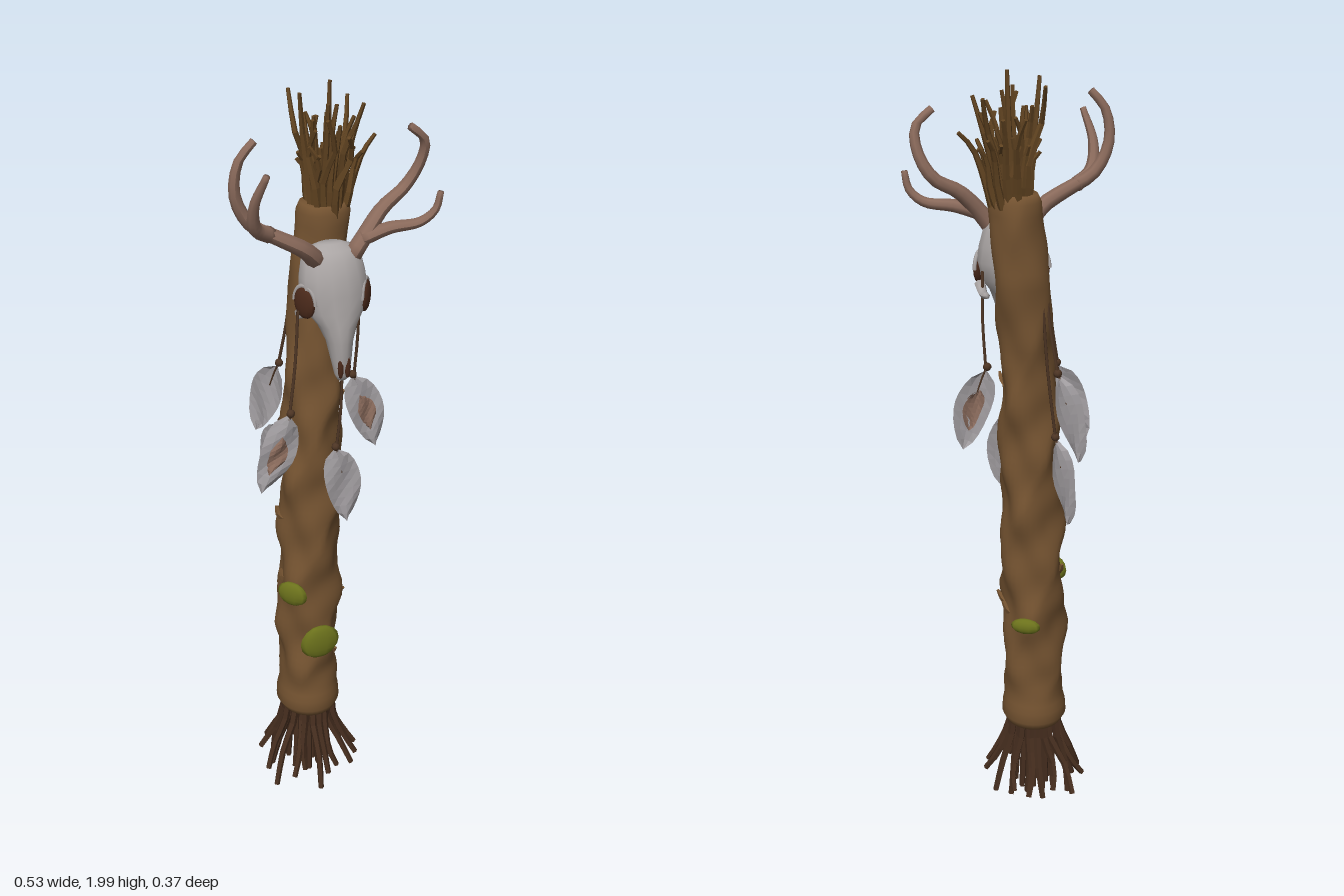
import * as THREE from 'three';

const mat = (name, color, side = THREE.FrontSide) => {
  const m = new THREE.MeshStandardMaterial({ color, side });
  m.name = name;
  return m;
};
const V = (x, y, z) => new THREE.Vector3(x, y, z);

// linear interpolation in rows of [y, a, b, c...]
function sample(rows, y) {
  let i = 0;
  while (i < rows.length - 2 && y > rows[i + 1][0]) i++;
  const a = rows[i], b = rows[i + 1];
  const t = THREE.MathUtils.clamp((y - a[0]) / (b[0] - a[0]), 0, 1);
  return a.map((v, k) => v + (b[k] - v) * t);
}

// closed skin over rings given from bottom to top
function loft(rings) {
  const n = rings[0].length, pos = [], idx = [];
  rings.forEach(r => r.forEach(p => pos.push(p.x, p.y, p.z)));
  for (let i = 0; i < rings.length - 1; i++) for (let j = 0; j < n; j++) {
    const a = i * n + j, b = i * n + (j + 1) % n;
    idx.push(a, a + n, b, b, a + n, b + n);
  }
  [rings[0], rings[rings.length - 1]].forEach((r, end) => {
    const c = r.reduce((s, p) => s.add(p), V(0, 0, 0)).divideScalar(n);
    const k = pos.length / 3, base = end ? (rings.length - 1) * n : 0;
    pos.push(c.x, c.y, c.z);
    for (let j = 0; j < n; j++) {
      const a = base + j, b = base + (j + 1) % n;
      if (end) idx.push(k, b, a); else idx.push(k, a, b);
    }
  });
  const g = new THREE.BufferGeometry();
  g.setAttribute('position', new THREE.Float32BufferAttribute(pos, 3));
  g.setIndex(idx);
  g.computeVertexNormals();
  return g;
}

// tube with closed ends that narrows from r0 to r1
function taper(points, r0, r1, sides = 6, seg = 10, flat = false) {
  const curve = new THREE.CatmullRomCurve3(points);
  let g = new THREE.TubeGeometry(curve, seg, 1, sides, false);
  const p = g.attributes.position, v = V(0, 0, 0);
  for (let i = 0; i <= seg; i++) {
    const t = THREE.MathUtils.clamp((i - 1) / (seg - 2), 0, 1);
    const from = curve.getPointAt(i / seg), to = curve.getPointAt(t);
    const r = i === 0 || i === seg ? 0 : r0 + (r1 - r0) * t;
    for (let j = 0; j <= sides; j++) {
      const k = i * (sides + 1) + j;
      v.fromBufferAttribute(p, k).sub(from).multiplyScalar(r).add(to);
      p.setXYZ(k, v.x, v.y, v.z);
    }
  }
  if (flat) g = g.toNonIndexed();
  g.computeVertexNormals();
  return g;
}

// trunk profile: y, centre x, centre z, radius x, radius z
const TRUNK = [
  [0.23, -0.055, -0.015, 0.078, 0.085], [0.25, -0.056, -0.015, 0.088, 0.094],
  [0.28, -0.056, -0.015, 0.086, 0.094], [0.31, -0.055, -0.015, 0.079, 0.086],
  [0.6, -0.053, -0.016, 0.083, 0.088], [1.0, -0.042, -0.014, 0.077, 0.083],
  [1.3, -0.033, -0.023, 0.069, 0.073], [1.5, -0.015, -0.045, 0.07, 0.07],
  [1.62, -0.002, -0.05, 0.066, 0.06], [1.69, 0.002, -0.048, 0.065, 0.058], [1.71, 0.002, -0.048, 0.056, 0.05],
];
function trunkPoint(y, a, lift = 0) {
  const [, cx, cz, rx, rz] = sample(TRUNK, y);
  const fade = THREE.MathUtils.smoothstep(y, 0.29, 0.4) * (1 - 0.65 * THREE.MathUtils.smoothstep(y, 1.1, 1.5));
  const ridge = 1 - 2 * Math.abs(Math.sin(1.5 * a + 9 * y));
  const fold = 0.006 * ridge + 0.006 * Math.sin(4 * a - 23 * y + 1) + 0.003 * Math.sin(2 * a + 41 * y);
  const d = fold * fade + lift;
  return V(cx + Math.cos(a) * (rx + d), y, cz + Math.sin(a) * (rz + d));
}

export function createModel() {
  const root = new THREE.Group();
  const bark = mat('bark wrap', 0x735230), root_ = mat('dark roots', 0x452d1e), twig = mat('twigs', 0x5f4220);
  const bone = mat('bone', 0xaaa5a4), horn = mat('antler', 0x8a6a5b), hollow = mat('hollow', 0x4b2a1b);
  const moss = mat('moss', 0x6c721c), cord = mat('cord', 0x4d3524);
  const vane = mat('feather', 0xa09c9f, THREE.DoubleSide), spot = mat('feather spot', 0x8a6b5c, THREE.DoubleSide);
  const add = (geo, m, name, parent = root) => {
    const mesh = new THREE.Mesh(geo, m);
    mesh.name = name;
    parent.add(mesh);
    return mesh;
  };
  const group = name => {
    const g = new THREE.Group();
    g.name = name;
    root.add(g);
    return g;
  };
  let seed = 11;
  const rnd = (a = 0, b = 1) => {
    seed = (seed * 16807) % 2147483647;
    return a + (b - a) * seed / 2147483647;
  };

  // wrapped trunk
  const ys = [0.23, 0.25, 0.28, 0.3];
  for (let y = 0.32; y < 1.68; y += 0.02) ys.push(y);
  ys.push(1.69, 1.71);
  add(loft(ys.map(y => Array.from({ length: 36 }, (_, j) => trunkPoint(y, j / 36 * Math.PI * 2)))), bark, 'trunk');

  // loose bark chips: y, angle
  const chips = group('barkChips');
  for (const [y, a] of [[0.56, -0.25], [0.58, 0.05], [0.42, 0.7], [0.47, 0.6], [0.66, 2.9], [0.85, 3.1], [1.2, 0.4]]) {
    add(taper([trunkPoint(y, a, -0.012), trunkPoint(y + 0.012, a + 0.12, 0.001), trunkPoint(y + 0.03, a + 0.24, 0.008)],
      0.013, 0.004, 4, 6, true), bark, 'barkChip', chips);
  }

  // splayed roots below
  const roots = group('roots');
  for (let i = 0; i < 34; i++) {
    const outer = i >= 14, a = i * 2.4, k = Math.sqrt((i + 0.5) / 34), r = 0.07 * k;
    const e = outer ? rnd(0.1, 0.155) : k * 0.1, y = outer ? rnd(0.008, 0.05) : 0.006;
    const at = (q, h, b = 0) => V(-0.055 + Math.cos(a + b) * q, h, -0.012 + Math.sin(a + b) * q);
    add(taper([at(r, 0.27), at(r * 1.1, 0.19, 0.05), at(r * 0.5 + e * 0.55, 0.1, rnd(-0.15, 0.15)), at(e, y)],
      0.012, 0.008, 5, 8, true), root_, 'root', roots);
  }

  // bundle of twigs on top
  const twigs = group('twigs');
  for (let i = 0; i < 36; i++) {
    const a = i * 2.4, k = Math.sqrt((i + 0.5) / 36), r = 0.045 * k, e = k * rnd(0.075, 0.125), h = i % 3 ? rnd(1.8, 1.92) : rnd(1.9, 1.99);
    const at = (q, y, b = 0) => V(0.005 + q * 0.2 + Math.cos(a + b) * q, y, -0.05 + Math.sin(a + b) * q);
    const m = (h + 1.68) / 2;
    add(taper([at(r, 1.68), at(r * 1.3, m - 0.03, 0.1), at(r * 0.6 + e * 0.5, m + 0.05, rnd(-0.4, 0.4)), at(e, i === 0 ? 2 : h)],
      0.012, 0.005, 5, 8, true), twig, 'twig', twigs);
  }

  // skull: y, half width, back z, front z
  const skull = group('skull');
  const SKULL = [
    [1.295, 0.012, 0.08, 0.1], [1.31, 0.019, 0.07, 0.108], [1.35, 0.026, 0.055, 0.116], [1.4, 0.034, 0.035, 0.12],
    [1.44, 0.05, 0.01, 0.12], [1.475, 0.076, -0.015, 0.114], [1.52, 0.088, -0.02, 0.11], [1.56, 0.084, -0.02, 0.104],
    [1.6, 0.076, -0.015, 0.09], [1.622, 0.062, -0.005, 0.072], [1.635, 0.03, 0.015, 0.05],
  ];
  add(loft(SKULL.map(([y, w, b, f]) => Array.from({ length: 14 }, (_, j) => {
    const a = j / 14 * Math.PI * 2;
    return V(0.012 * (1.6 - y) / 0.3 - 0.004 + Math.cos(a) * w, y, (b + f) / 2 + Math.sin(a) * (f - b) / 2);
  }))), bone, 'skullBone', skull);
  for (const s of [-1, 1]) {
    const socket = new THREE.Group();
    socket.name = 'eyeSocket';
    socket.position.set(s * 0.077 - 0.001, 1.5, 0.062);
    socket.rotation.y = s * 1.02;
    skull.add(socket);
    add(new THREE.SphereGeometry(1, 12, 8), hollow, 'eyeHollow', socket).scale.set(0.033, 0.042, 0.013);
    const rim = add(new THREE.TorusGeometry(0.034, 0.005, 6, 14, Math.PI), bone, 'browRim', socket);
    rim.scale.set(1, 1.25, 1);
    // nostril and cheek bone
    const n = add(new THREE.SphereGeometry(1, 8, 6), hollow, 'nostril', skull);
    n.scale.set(0.008, 0.03, 0.006);
    n.position.set(0.007 + s * 0.009, 1.335, 0.11);
    add(taper([V(s * 0.08, 1.465, 0.04), V(s * 0.075, 1.445, 0.01), V(s * 0.07, 1.45, -0.03)], 0.014, 0.008, 6, 6), bone, 'cheekBone', skull);
  }

  // antlers, each with a beam and a tine
  const antlers = group('antlers');
  const antler = (pts, r0, r1, name) => add(taper(pts.map(p => V(...p)), r0, r1, 8, 18), horn, name, antlers);
  antler([[-0.045, 1.6, 0.055], [-0.085, 1.645, 0.085], [-0.15, 1.685, 0.092], [-0.215, 1.725, 0.09], [-0.252, 1.8, 0.095],
    [-0.242, 1.88, 0.098], [-0.205, 1.925, 0.1]], 0.023, 0.01, 'rightBeam');
  antler([[-0.17, 1.695, 0.09], [-0.212, 1.725, 0.12], [-0.222, 1.79, 0.15], [-0.2, 1.87, 0.183]], 0.02, 0.008, 'rightTine');
  antler([[0.045, 1.6, 0.05], [0.075, 1.64, 0.045], [0.13, 1.7, 0.022], [0.195, 1.74, 0], [0.23, 1.8, 0.008],
    [0.234, 1.86, 0.025], [0.192, 1.9, 0.038]], 0.023, 0.01, 'leftBeam');
  antler([[0.07, 1.64, 0.048], [0.14, 1.66, 0.05], [0.215, 1.67, 0.06], [0.25, 1.7, 0.068], [0.26, 1.745, 0.072]], 0.02, 0.008, 'leftTine');

  // moss patches: y, angle, width, height
  for (const [y, a, w, h] of [[0.49, 1.5, 0.056, 0.052], [0.65, 2.35, 0.044, 0.036], [0.56, -1.2, 0.04, 0.022]]) {
    const m = add(new THREE.SphereGeometry(1, 10, 8), moss, 'moss');
    m.position.copy(trunkPoint(y, a));
    m.rotation.y = Math.PI / 2 - a;
    m.scale.set(w, h, 0.016);
  }

  // folded feather blade hanging from its quill
  function blade(scale, lift) {
    const g = new THREE.PlaneGeometry(1, 1, 4, 9).toNonIndexed(), p = g.attributes.position;
    for (let i = 0; i < p.count; i++) {
      const u = p.getX(i) * 2, t = 0.5 - p.getY(i);
      const w = 0.048 * Math.pow(Math.sin(Math.PI * Math.pow(Math.max(t, 0.001), 0.8)), 0.65);
      const wave = 0.004 * Math.sin(u * 3 + t * 9);
      p.setXYZ(i, u * w * scale + 0.008 * Math.sin(t * 3), -0.11 + (t - 0.5) * -0.22 * scale, wave - 0.006 * u * u + lift);
    }
    g.computeVertexNormals();
    return g;
  }
  // feathers: quill point, yaw, tilt, cord start
  const FEATHERS = [
    [[-0.132, 1.215, 0.1], 0, -0.36, [-0.095, 1.48, 0.06]],
    [[0.07, 1.245, 0], 0, 0.28, [0.075, 1.5, 0.02]],
    [[-0.01, 1.1, 0.1], 0, 0.13, [0.008, 1.31, 0.09]],
    [[-0.1, 1.255, -0.105], 2.23, 0.33, [-0.07, 1.5, -0.075]],
    [[-0.095, 1.085, -0.105], 2.05, 0.24, [-0.06, 1.46, -0.09]],
  ];
  FEATHERS.forEach(([q, yaw, tilt, from], i) => {
    const f = group('feather');
    f.position.set(...q);
    f.rotation.set(0, yaw, tilt);
    add(blade(1, 0), vane, 'featherVane', f);
    if (i < 2) for (const s of [-1, 1]) add(blade(0.5, s * 0.004), spot, 'featherSpot', f);
    add(taper([V(0, 0.02, 0), V(0.005, -0.03, 0), V(0.006, -0.07, 0)], 0.003, 0.002, 5, 6), cord, 'quill', f);
    add(new THREE.SphereGeometry(0.011, 8, 6), cord, 'bead', f).position.y = 0.01;
    const a = V(...from), b = V(...q);
    add(taper([a, a.clone().lerp(b, 0.5).add(V(0.004, 0, 0)), b], 0.004, 0.004, 5, 8), cord, 'cord');
  });

  return root;
}
